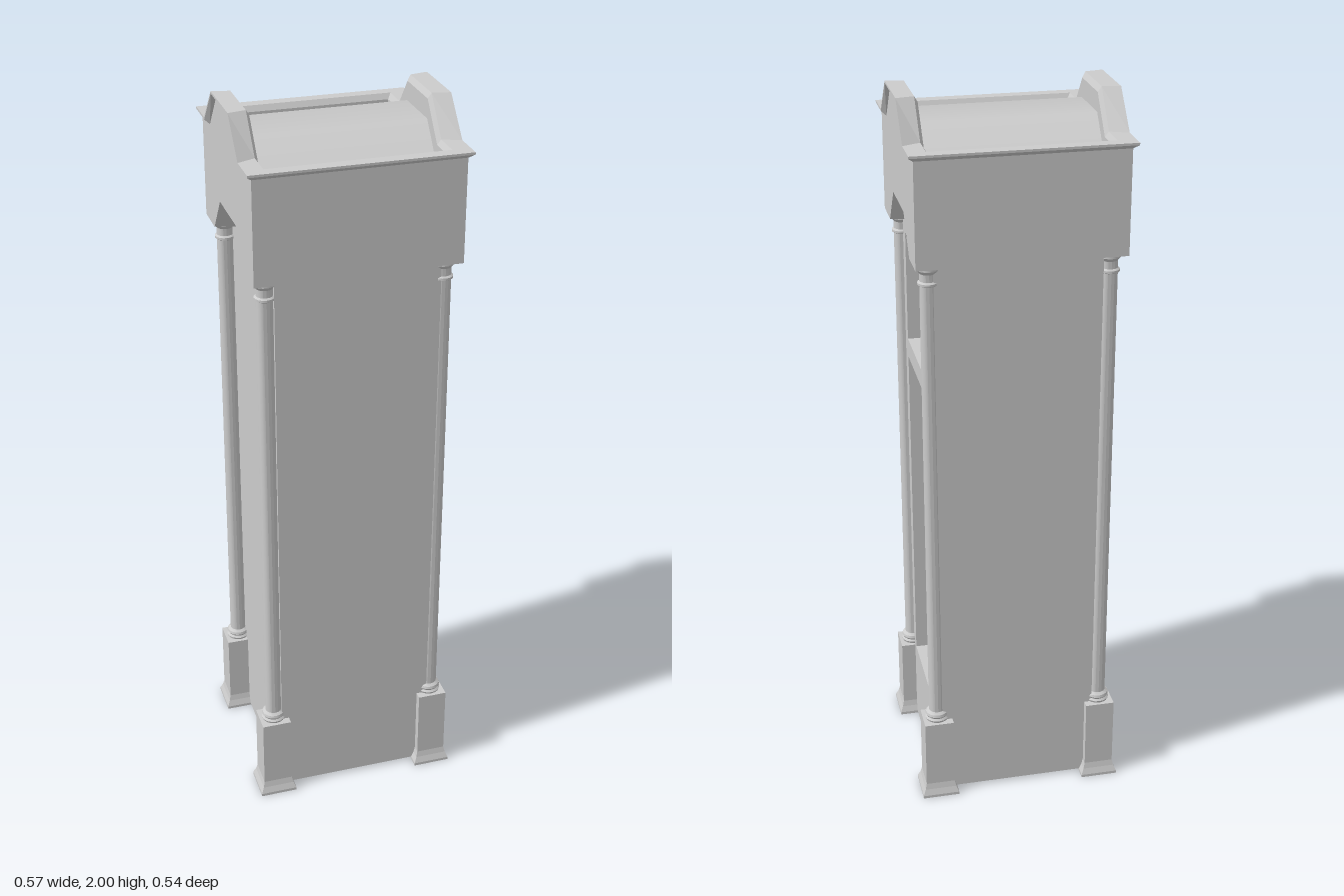
import * as THREE from 'three';
import { toCreasedNormals } from 'three/addons/utils/BufferGeometryUtils.js';

const grey = new THREE.MeshStandardMaterial({ color: 0xcccccc });
const flat = new THREE.MeshStandardMaterial({ color: 0xcccccc, flatShading: true });

function add(group, name, geometry, material = grey) {
  const mesh = new THREE.Mesh(geometry, material);
  mesh.name = name;
  group.add(mesh);
  return mesh;
}

// Rectangular ring whose two x sides rise from yLow (|z| > s) to yHigh (|z| < t)
function ring(hx, hz, s, t, yLow, yHigh) {
  const side = [[hz, yLow], [s, yLow], [t, yHigh], [-t, yHigh], [-s, yLow], [-hz, yLow]];
  return [
    ...side.map(([z, y]) => [hx, y, z]),
    ...side.map(([z, y]) => [-hx, y, -z]),
  ];
}

function surface(positions, index) {
  const g = new THREE.BufferGeometry();
  g.setAttribute('position', new THREE.Float32BufferAttribute(positions, 3));
  g.setIndex(index);
  g.computeVertexNormals();
  return g;
}

// Skin joining successive rings
function loft(rings) {
  const n = rings[0].length, index = [];
  for (let r = 0; r < rings.length - 1; r++) {
    for (let i = 0; i < n; i++) {
      const j = (i + 1) % n;
      const a = r * n + i, b = r * n + j, c = b + n, d = a + n;
      index.push(a, b, c, a, c, d);
    }
  }
  return surface(rings.flat(2), index);
}

// Smooth strip spanning the two x sides of a ring, shaded evenly along x
function roofStrip(r) {
  const positions = [], index = [];
  for (let i = 0; i < 6; i++) {
    positions.push(...r[i], ...r[11 - i]);
    if (i < 5) {
      const a = 2 * i;
      index.push(a, a + 2, a + 3, a, a + 3, a + 1);
    }
  }
  const g = surface(positions, index);
  const normals = g.attributes.normal;
  for (let i = 0; i < 12; i += 2) {
    const n = new THREE.Vector3().fromBufferAttribute(normals, i)
      .add(new THREE.Vector3().fromBufferAttribute(normals, i + 1)).normalize();
    normals.setXYZ(i, n.x, n.y, n.z);
    normals.setXYZ(i + 1, n.x, n.y, n.z);
  }
  return g;
}

const points = (list) => list.map(([x, y]) => new THREE.Vector2(x, y));

export function createModel() {
  const model = new THREE.Group();
  model.name = 'tallCase';

  // Trunk, with a framed face on the +x side holding two recessed panels
  const bottom = 0.008, top = 1.8, faceX = 0.235, backX = -0.215, halfZ = 0.229, recess = 0.05;
  const depth = faceX - recess - backX;
  const trunk = add(model, 'trunk', new THREE.BoxGeometry(depth, top - bottom, 2 * halfZ));
  trunk.position.set(backX + depth / 2, (top + bottom) / 2, 0);

  const frame = new THREE.Shape(points([[-halfZ, bottom], [halfZ, bottom], [halfZ, top], [-halfZ, top]]));
  frame.holes.push(
    new THREE.Path(points([[-0.15, 0.25], [-0.15, 1.21], [0.15, 1.21], [0.15, 0.25]])),
    new THREE.Path(points([[-0.15, 1.263], [-0.15, 1.56], [-0.075, 1.656],
      [0.075, 1.656], [0.15, 1.56], [0.15, 1.263]])),
  );
  const frameGeo = new THREE.ExtrudeGeometry(frame, { depth: recess, bevelEnabled: false });
  frameGeo.rotateY(Math.PI / 2);
  add(model, 'panelFrame', frameGeo).position.x = faceX - recess;

  // Corner pedestals and turned columns
  const r2 = Math.SQRT2;
  const pedestalGeo = new THREE.LatheGeometry(points([
    [0, 0], [0.052 * r2, 0], [0.052 * r2, 0.008], [0.045 * r2, 0.025],
    [0.041 * r2, 0.042], [0.041 * r2, 0.244], [0, 0.244],
  ]), 4, Math.PI / 4);
  const columnGeo = toCreasedNormals(new THREE.LatheGeometry(points([
    [0, 0.24], [0.032, 0.244], [0.034, 0.25], [0.029, 0.255], [0.033, 0.261], [0.031, 0.268],
    [0.023, 0.274], [0.022, 1.555], [0.027, 1.558], [0.027, 1.564], [0.022, 1.568],
    [0.022, 1.588], [0.03, 1.598], [0.03, 1.615], [0, 1.615],
  ]), 16), 0.6);
  for (const sx of [1, -1]) {
    for (const sz of [1, -1]) {
      const corner = new THREE.Group();
      corner.name = 'cornerPost';
      corner.position.set(sx * 0.235, 0, sz * 0.21);
      add(corner, 'pedestal', pedestalGeo, flat);
      add(corner, 'column', columnGeo);
      model.add(corner);
    }
  }

  // Hood: arched underside, walls, cornice, raised rim and inner bevel
  const roofEdge = ring(0.229, 0.229, 0.155, 0.077, 1.84, 1.934);
  add(model, 'hood', loft([
    ring(0.21, 0.22, 0.145, 0.07, 1.61, 1.708),
    ring(0.273, 0.257, 0.16, 0.085, 1.61, 1.708),
    ring(0.273, 0.257, 0.17, 0.088, 1.888, 1.984),
    ring(0.286, 0.271, 0.179, 0.09, 1.899, 1.994),
    ring(0.286, 0.271, 0.179, 0.09, 1.905, 2),
    ring(0.238, 0.238, 0.158, 0.08, 1.905, 2),
    ring(0.229, 0.229, 0.155, 0.077, 1.89, 1.985),
    roofEdge,
  ]), flat);

  // Softly curved roof sunk inside the rim
  add(model, 'roof', roofStrip(roofEdge));

  return model;
}
